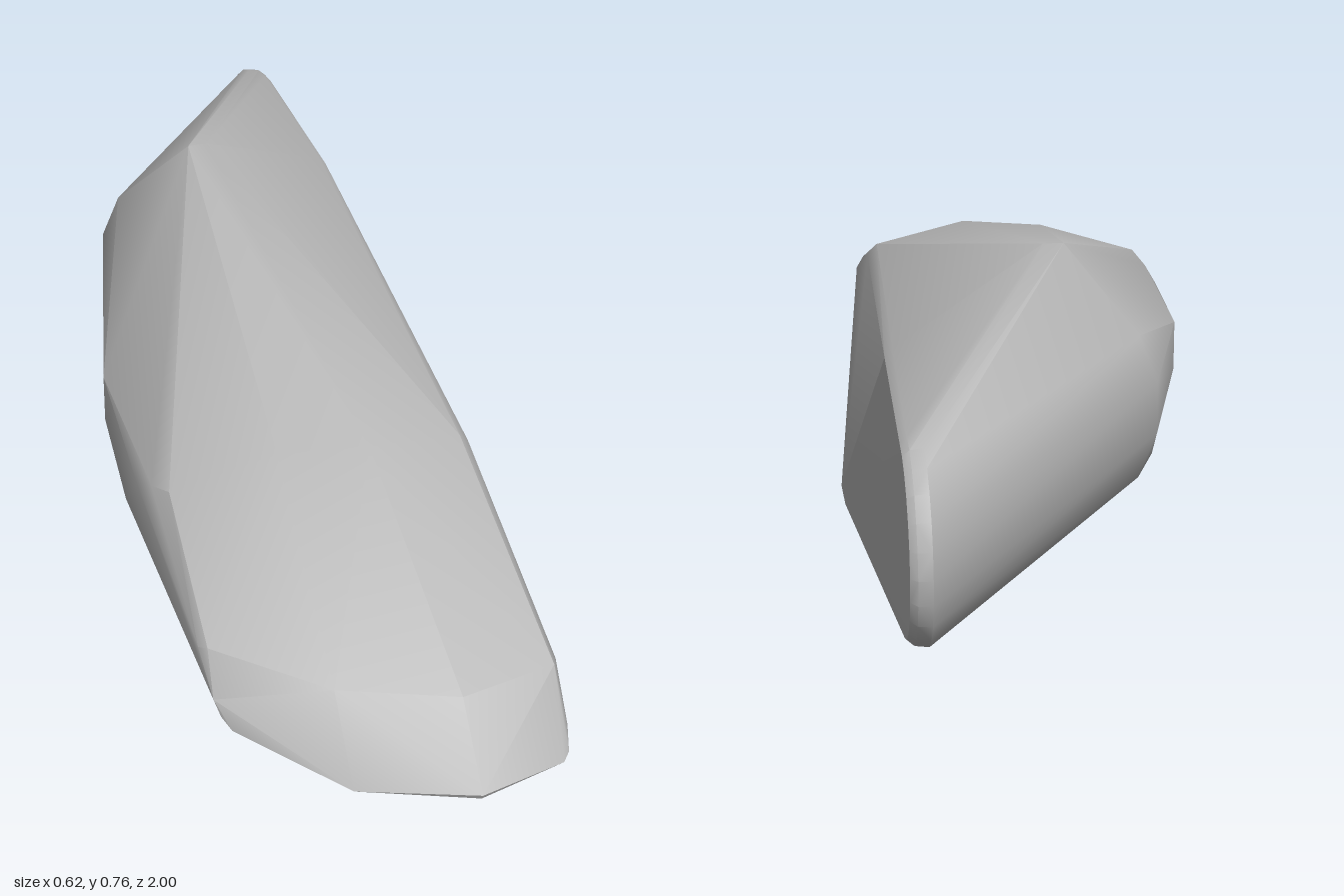
import * as THREE from 'three';
import { ConvexGeometry } from 'three/addons/geometries/ConvexGeometry.js';
import { toCreasedNormals } from 'three/addons/utils/BufferGeometryUtils.js';

// Rounded tail rim: a half circle in the z-y plane
function tailArc(x, radius, steps = 12) {
  const arc = [];
  for (let i = 0; i <= steps; i++) {
    const a = (i / steps) * Math.PI;
    arc.push([x, 0.457 + radius * Math.cos(a), -0.835 - radius * Math.sin(a)]);
  }
  return arc;
}

export function createModel() {
  const stone = new THREE.MeshStandardMaterial({ color: 0xb8b8b8 });
  stone.name = 'stone grey';

  // Front lip and the bevel above it
  const nose = [
    [-0.29, 0.33, 0.79], [-0.14, 0.293, 0.94], [0.05, 0.285, 1], [0.05, 0.275, 0.995],
    [0.21, 0.265, 0.945], [0.223, 0.273, 0.932], [0.232, 0.3, 0.9], [0.238, 0.35, 0.84],
    [-0.3, 0.42, 0.69], [-0.14, 0.415, 0.84], [0.05, 0.402, 0.9], [0.222, 0.39, 0.855], [0.238, 0.375, 0.825],
  ];
  // Shoulder ridge and peak
  const crown = [
    [-0.28, 0.52, 0.4], [-0.1, 0.572, 0.42], [0.05, 0.577, 0.45], [0.223, 0.545, 0.42], [0.242, 0.525, 0.41],
    [-0.035, 0.757, -0.33], [0, 0.757, -0.33],
  ];
  // Curved side opposite the flat face
  const flank = [
    [-0.302, 0.345, 0.77], [-0.31, 0.37, 0.755], [-0.31, 0.41, 0.67], [-0.31, 0.48, 0.3], [-0.31, 0.39, 0.22],
    [-0.297, 0.503, 0.35], [-0.29, 0.5, 0], [-0.29, 0.41, 0],
    [-0.15, 0.62, -0.42], [-0.18, 0.54, -0.43], [-0.18, 0.45, -0.43],
    [-0.15, 0.37, -0.425], [-0.2, 0.355, -0.28], [-0.07, 0.318, -0.43],
  ];
  // Low keel
  const keel = [
    [0.23, 0, 0.32], [0.2, 0.012, 0.2], [0.2, 0.035, 0.46], [0.27, 0.036, 0.4],
    [0.285, 0.048, 0.33], [0.309, 0.08, 0.32], [0.309, 0.09, 0.2],
  ];
  // Tail: outer rim, the smaller rim bordering the flat face, and the bevel along its top
  const tail = [
    ...tailArc(0.25, 0.165), ...tailArc(0.272, 0.162), ...tailArc(0.283, 0.152),
    [0.262, 0.625, -0.45], [0.275, 0.611, -0.45],
  ];

  const points = [...nose, ...crown, ...flank, ...keel, ...tail].map((p) => new THREE.Vector3(...p));
  const rock = new THREE.Mesh(toCreasedNormals(new ConvexGeometry(points), 0.6), stone);
  rock.name = 'rock';

  const model = new THREE.Group();
  model.name = 'boulder';
  model.add(rock);
  return model;
}
